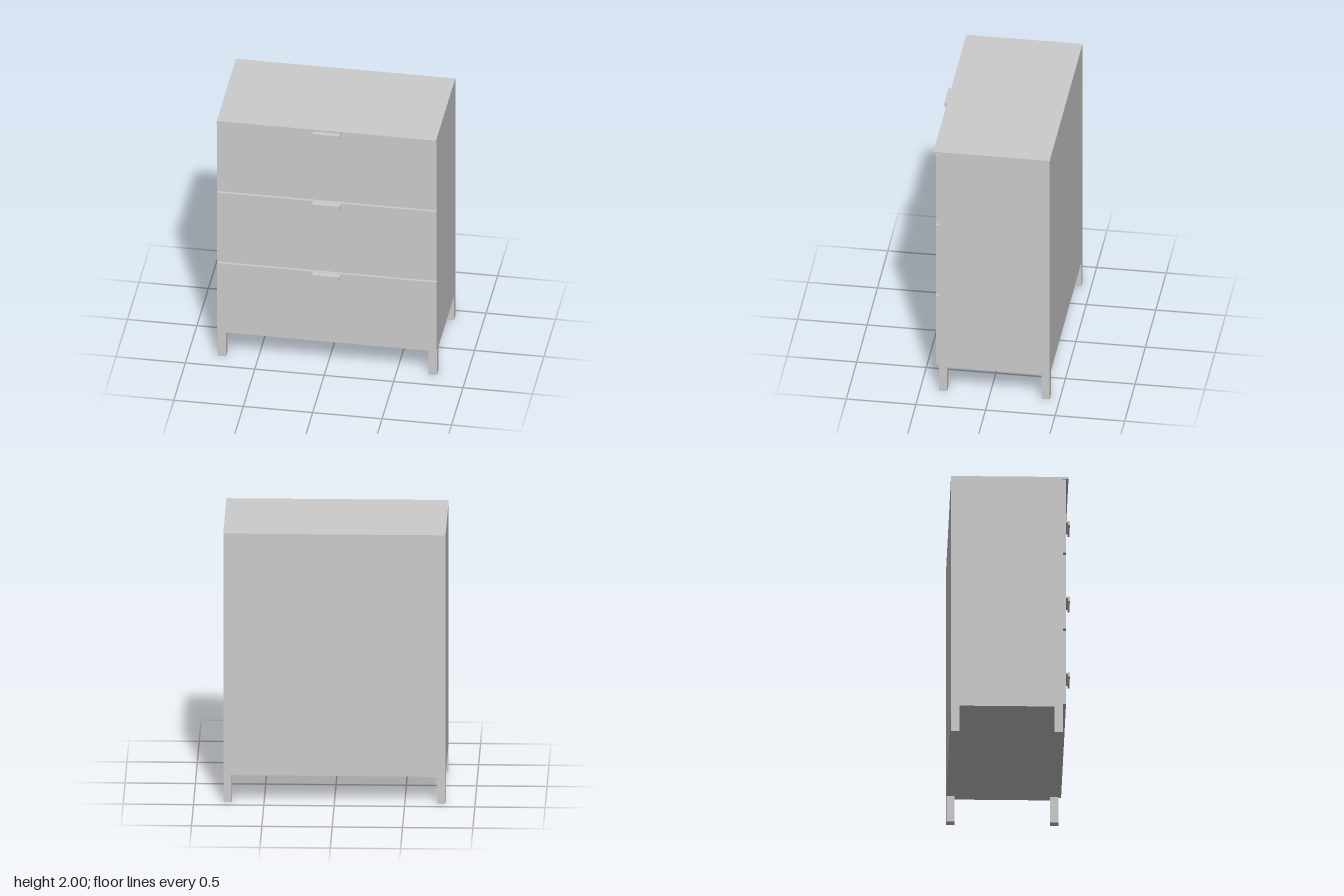
import * as THREE from 'three';

export function createModel() {
  const group = new THREE.Group();
  group.name = 'chestOfDrawers';
  const material = new THREE.MeshStandardMaterial({ color: 0xcccccc, flatShading: true });

  // Box given by its lower and upper bounds on each axis
  function box(name, [x0, x1], [y0, y1], [z0, z1], parent = group) {
    const mesh = new THREE.Mesh(new THREE.BoxGeometry(x1 - x0, y1 - y0, z1 - z0), material);
    mesh.position.set((x0 + x1) / 2, (y0 + y1) / 2, (z0 + z1) / 2);
    mesh.name = name;
    parent.add(mesh);
  }

  const half = 0.79, back = -0.43, front = 0.367;

  // Carcass and the thin top that overhangs the drawer fronts
  box('carcass', [-half, half], [0.2, 1.985], [back, front]);
  box('topPanel', [-half, half], [1.985, 2], [back, 0.405]);

  // Square legs flush with the corners
  const leg = 0.06;
  for (const x of [-half, half - leg]) {
    for (const z of [back, front - leg]) {
      box('leg', [x, x + leg], [0, 0.2], [z, z + leg]);
    }
  }

  // Hooked handle profile: x is depth from the drawer front, y is height
  const profile = new THREE.Shape([
    [0, -0.013], [0, 0], [0.045, 0], [0.045, -0.033], [0.033, -0.033], [0.033, -0.013],
  ].map(([x, y]) => new THREE.Vector2(x, y)));
  const handleGeometry = new THREE.ExtrudeGeometry(profile, { depth: 0.2, bevelEnabled: false });
  handleGeometry.translate(0, 0, -0.1).rotateY(-Math.PI / 2);

  // Three drawers, each a front panel with a handle at its upper edge
  for (const [bottom, top] of [[0.22, 0.793], [0.813, 1.387], [1.407, 1.98]]) {
    const drawer = new THREE.Group();
    drawer.name = 'drawer';
    box('drawerFront', [-half, half], [bottom, top], [front, 0.387], drawer);
    const handle = new THREE.Mesh(handleGeometry, material);
    handle.name = 'handle';
    handle.position.set(0, top - 0.002, 0.385);
    drawer.add(handle);
    group.add(drawer);
  }

  return group;
}
